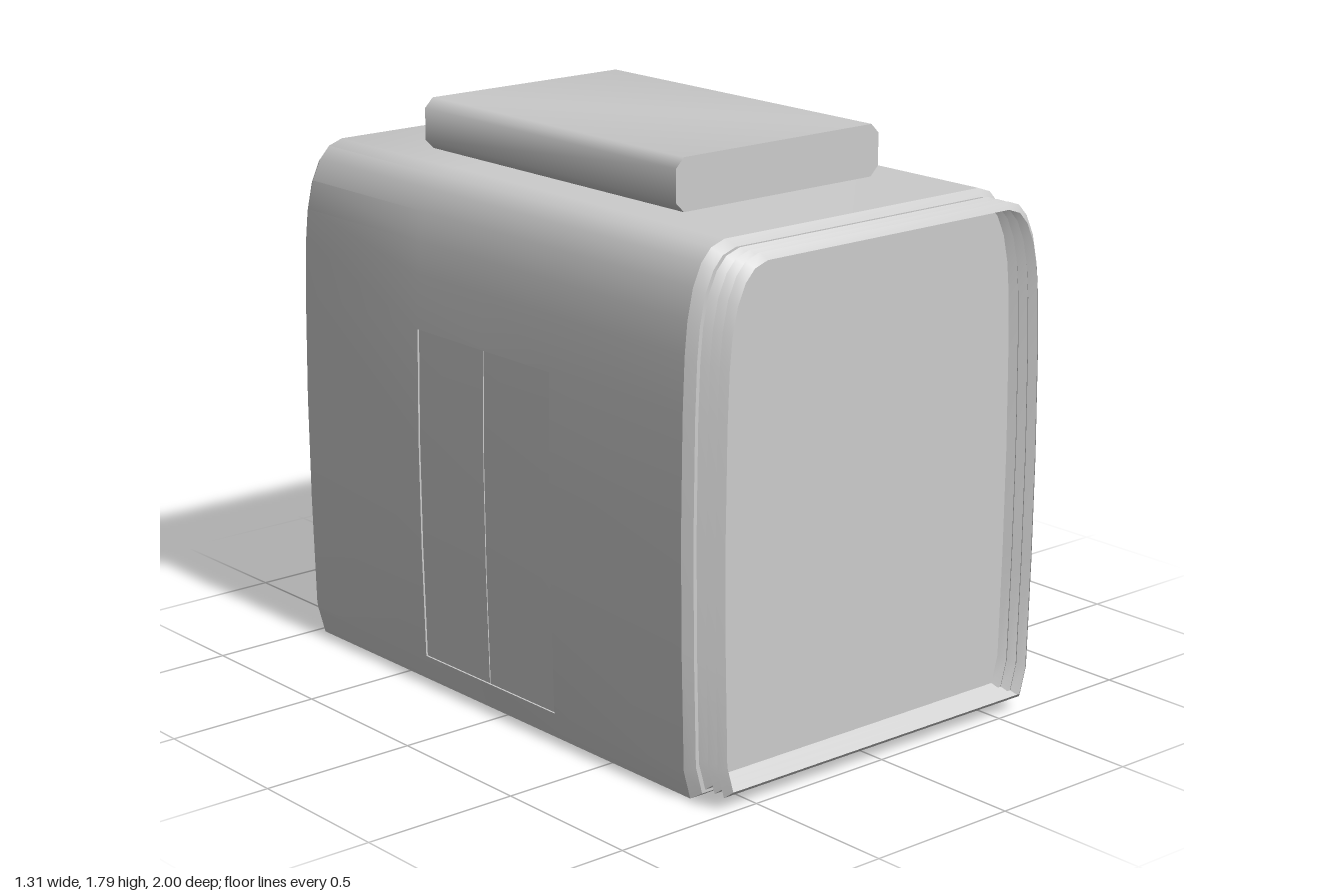
import * as THREE from 'three';
import { toCreasedNormals } from 'three/addons/utils/BufferGeometryUtils.js';

// Right half of the car section, bottom to top: x, y, 1 if part of the door recess
const HALF = [
  [0.62, 0, 0], [0.645, 0.09, 0], [0.645, 0.09, 1], [0.654, 0.45, 1], [0.657, 0.8, 1],
  [0.652, 1.15, 1], [0.652, 1.15, 0], [0.645, 1.32, 0], [0.635, 1.42, 0], [0.615, 1.51, 0],
  [0.585, 1.575, 0], [0.55, 1.613, 0], [0.50, 1.63, 0],
];

// Closed section at z, fitted to a half width and height range; door points sink by depth
function section(z, halfWidth = 0.657, bottom = 0, top = 1.63, depth = 0) {
  const k = halfWidth / 0.657;
  const right = HALF.map(([x, y, d]) =>
    new THREE.Vector3(x * k - d * depth, bottom + (y / 1.63) * (top - bottom), z));
  const left = right.map((p) => new THREE.Vector3(-p.x, p.y, p.z)).reverse();
  return [...right, ...left];
}

// Skin through sections ordered by rising z, with optional end caps
function loft(rings, capped) {
  const pos = [];
  const tri = (...pts) => pts.forEach((p) => pos.push(p.x, p.y, p.z));
  const n = rings[0].length;
  for (let i = 0; i < rings.length - 1; i++) {
    for (let j = 0; j < n; j++) {
      const k = (j + 1) % n;
      const [a, b, c, d] = [rings[i][j], rings[i][k], rings[i + 1][k], rings[i + 1][j]];
      tri(a, b, c);
      tri(a, c, d);
    }
  }
  if (capped) {
    const first = rings[0], last = rings[rings.length - 1];
    const back = new THREE.Vector3(0, 0.8, first[0].z);
    const front = new THREE.Vector3(0, 0.8, last[0].z);
    for (let j = 0; j < n; j++) {
      const k = (j + 1) % n;
      tri(back, first[k], first[j]);
      tri(front, last[j], last[k]);
    }
  }
  const geo = new THREE.BufferGeometry();
  geo.setAttribute('position', new THREE.Float32BufferAttribute(pos, 3));
  return toCreasedNormals(geo, 0.55);
}

export function createModel() {
  const group = new THREE.Group();
  const grey = new THREE.MeshStandardMaterial({ color: 0xcccccc, side: THREE.DoubleSide });
  grey.name = 'light grey';
  const add = (name, geo) => {
    const mesh = new THREE.Mesh(geo, grey);
    mesh.name = name;
    group.add(mesh);
    return mesh;
  };

  // Car body with bevelled ends, sunken double doors and a narrow seam between the leaves
  const door = (z, depth) => section(z, 0.657, 0, 1.63, depth);
  const leaf = 0.006, seam = 0.012;
  add('carBody', loft([
    section(-1, 0.64, 0.012, 1.615),
    section(-0.97),
    door(-0.38, 0), door(-0.38, leaf),
    door(-0.062, leaf), door(-0.062, seam),
    door(-0.058, seam), door(-0.058, leaf),
    door(0.26, leaf), door(0.26, 0),
    section(0.85),
    section(0.88, 0.637, 0.02, 1.61),
  ], true));

  // Open gangway bellows folded in a zigzag
  const folds = [];
  for (let i = 0; i <= 6; i++) {
    const z = 0.88 + i * 0.02;
    folds.push(i % 2 ? section(z, 0.643, 0.04, 1.613) : section(z, 0.624, 0.058, 1.593));
  }
  add('gangwayBellows', loft(folds, false));

  // Roof unit with rounded long edges
  const w = 0.4, h = 0.16, r = 0.03;
  const outline = new THREE.Shape();
  outline.moveTo(-w + r, 0);
  [[w - r, 0], [w, r], [w, h - r], [w - r, h], [-w + r, h], [-w, h - r], [-w, r]]
    .forEach(([x, y]) => outline.lineTo(x, y));
  const unit = new THREE.ExtrudeGeometry(outline, { depth: 1.19, bevelEnabled: false });
  add('roofUnit', toCreasedNormals(unit, 0.9)).position.set(0, 1.63, -0.66);

  return group;
}
